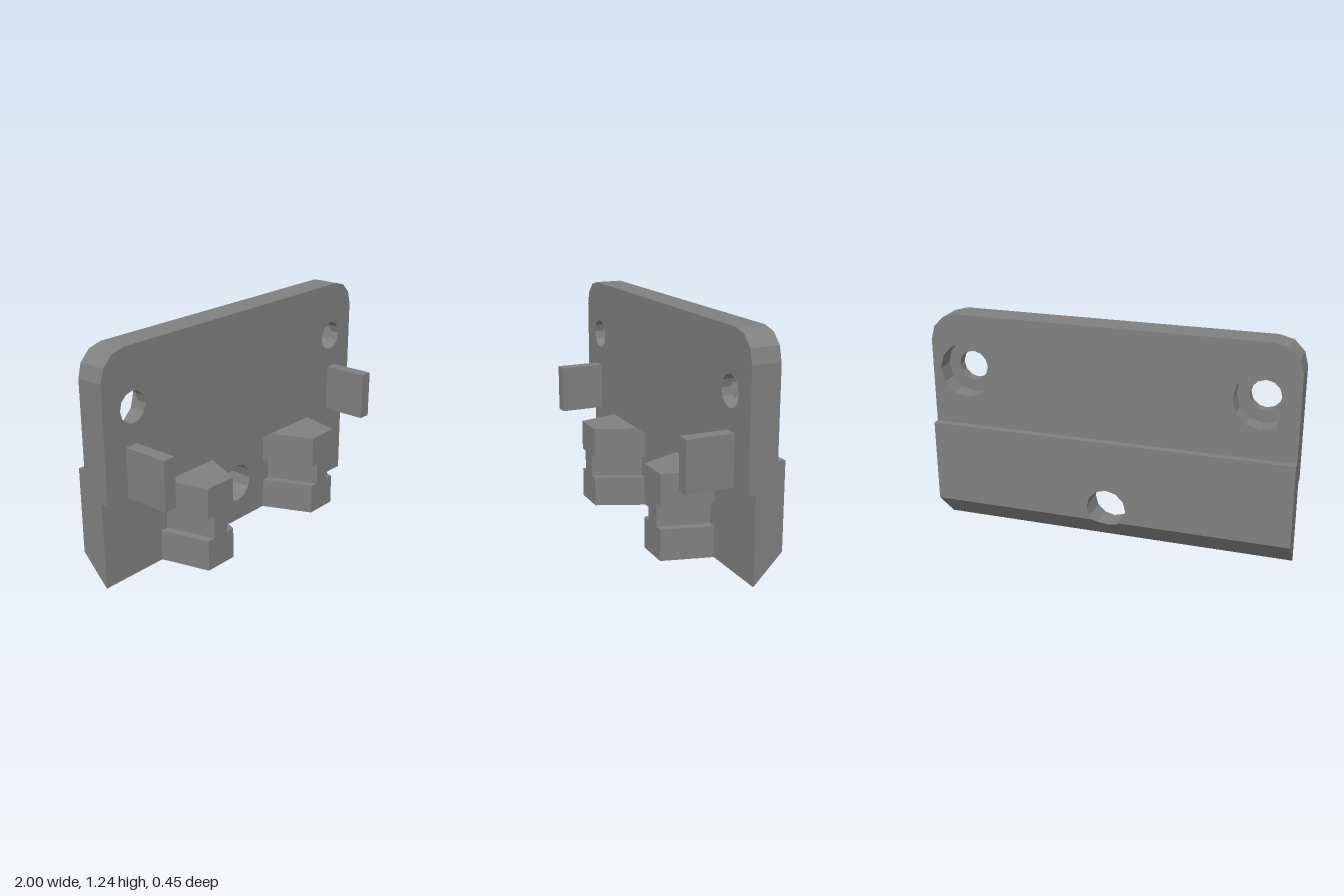
import * as THREE from 'three';

const HOLE_SIDES = 12;

// Points of a circular arc, angles in degrees
function arc(cx, cy, r, from, to, steps) {
  return Array.from({ length: steps + 1 }, (_, i) => {
    const a = THREE.MathUtils.degToRad(from + ((to - from) * i) / steps);
    return new THREE.Vector2(cx + r * Math.cos(a), cy + r * Math.sin(a));
  });
}

const points = (list) => list.map(([x, y]) => new THREE.Vector2(x, y));

// Extrude an outline in x, y from zBack to zFront
function slab(outline, zBack, zFront, holes = []) {
  const shape = new THREE.Shape(outline);
  holes.forEach((h) => shape.holes.push(new THREE.Path(h)));
  const geo = new THREE.ExtrudeGeometry(shape, { depth: zFront - zBack, bevelEnabled: false });
  return geo.translate(0, 0, zBack);
}

export function createModel() {
  const group = new THREE.Group();
  group.name = 'mountingBracket';
  const grey = new THREE.MeshStandardMaterial({ color: 0x808080 });
  grey.name = 'grey';

  const add = (name, geo) => {
    const mesh = new THREE.Mesh(geo, grey);
    mesh.name = name;
    group.add(mesh);
  };
  const box = (name, x0, x1, y0, y1, z0, z1) =>
    add(name, new THREE.BoxGeometry(x1 - x0, y1 - y0, z1 - z0)
      .translate((x0 + x1) / 2, (y0 + y1) / 2, (z0 + z1) / 2));

  // Upper plate with rounded corners: narrow holes in front, counterbores behind
  const plate = [
    ...points([[-1, 0.465], [1, 0.465]]),
    ...arc(0.85, 1.085, 0.15, 0, 90, 3),
    ...arc(-0.85, 1.085, 0.15, 90, 180, 3),
  ];
  const screwHoles = (r) => [-1, 1].map((s) =>
    arc(s * 0.807, 0.925, r, 0, 360, HOLE_SIDES).slice(0, HOLE_SIDES));
  add('upperPlateFront', slab(plate, -0.085, -0.03, screwHoles(0.083)));
  add('upperPlateBack', slab(plate, -0.185, -0.085, screwHoles(0.15)));

  // Lower plate, split where the chamfer starts, with the centre hole cut through both
  const split = 0.155;
  const holeArc = arc(0, 0.23, 0.11, -30, 210, 8);
  add('lowerPlate', slab([
    ...points([[-1, 0.465], [-1, split], [-0.075, split]]),
    ...holeArc.reverse(),
    ...points([[0.075, split], [1, split], [1, 0.465]]),
  ], -0.225, -0.07));

  const wedge = slab([
    ...points([[-1, 0], [1, 0], [1, split], [0.075, split]]),
    ...arc(0, 0.23, 0.11, -60, -120, 2),
    ...points([[-0.075, split], [-1, split]]),
  ], -0.225, -0.07);
  const pos = wedge.attributes.position;
  for (let i = 0; i < pos.count; i++) {
    if (pos.getZ(i) < -0.1) pos.setZ(i, -0.07 - pos.getY(i));
  }
  wedge.computeVertexNormals();
  add('lowerChamfer', wedge);

  // Thicker step at the back
  box('backStep', -1, 1, 0.465, 0.615, -0.225, -0.185);

  // Tapered clip blocks with a groove round the middle, and guide tabs
  for (const s of [-1, 1]) {
    const side = s > 0 ? 'left' : 'right';
    const tapered = (name, y0, y1, backIn, backOut, frontIn, frontOut) => {
      const outline = points([
        [s * backIn, 0.07], [s * backOut, 0.07], [s * frontOut, -0.2], [s * frontIn, -0.2],
      ]);
      add(name, slab(outline, y0, y1).rotateX(-Math.PI / 2));
    };
    tapered(side + 'BlockBottom', 0, 0.17, 0.23, 0.607, 0.345, 0.537);
    tapered(side + 'BlockGroove', 0.17, 0.295, 0.278, 0.563, 0.393, 0.492);
    tapered(side + 'BlockTop', 0.295, 0.465, 0.23, 0.607, 0.345, 0.537);

    const [a, b] = [s * 0.79, s * 0.863].sort((p, q) => p - q);
    box(side + 'Tab', a, b, 0.465, 0.733, -0.03, 0.225);
  }
  return group;
}
